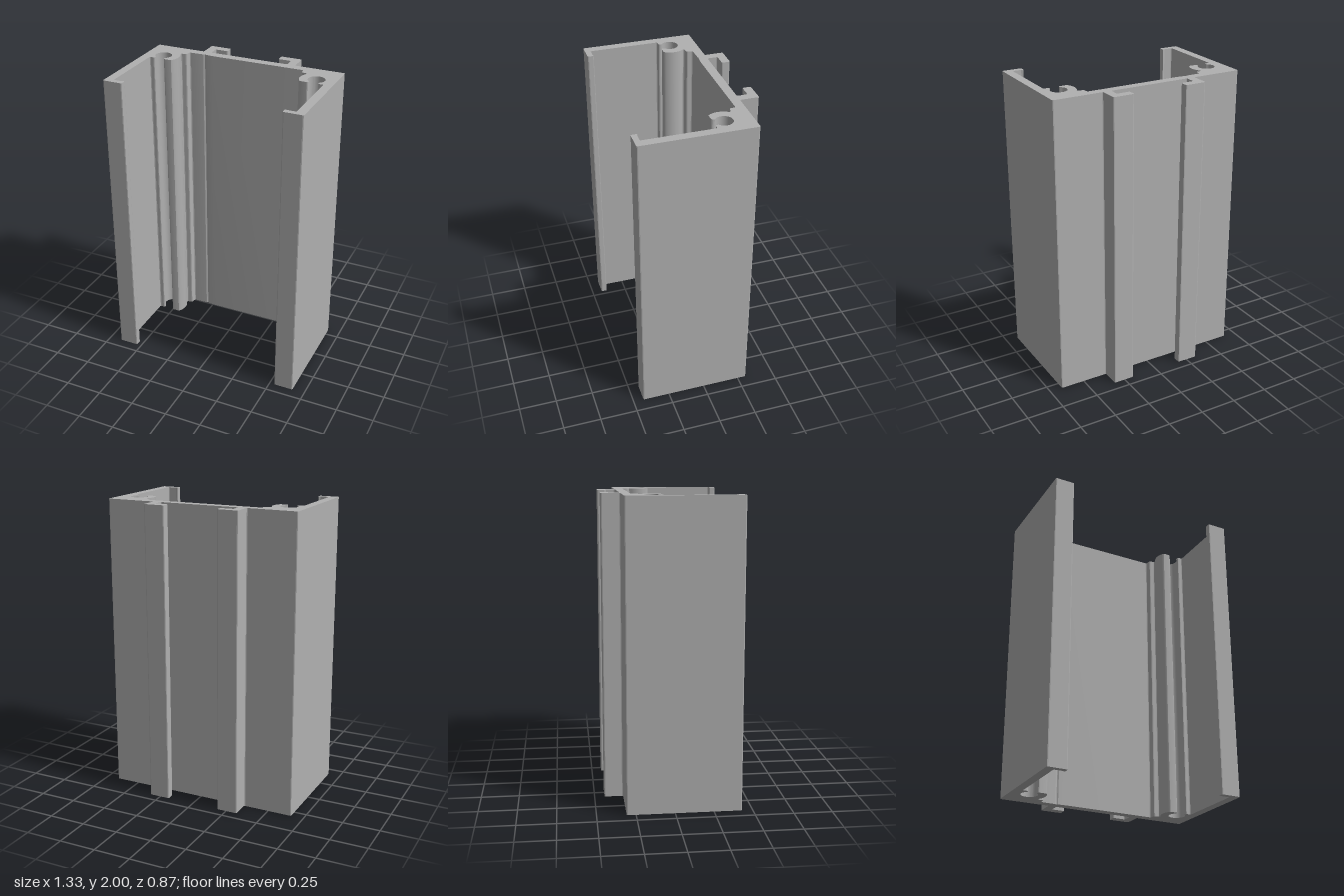
import * as THREE from 'three';
import { toCreasedNormals } from 'three/addons/utils/BufferGeometryUtils.js';

const HEIGHT = 2;
const SCREW = { x: 0.538, z: -0.132 }; // centre of the screw channel

// Points along an arc about the screw channel, angles in degrees (x, z plane)
function channelArc(radius, from, to, steps) {
  return Array.from({ length: steps + 1 }, (_, i) => {
    const a = THREE.MathUtils.degToRad(from + ((to - from) * i) / steps);
    return [SCREW.x + radius * Math.cos(a), SCREW.z + radius * Math.sin(a)];
  });
}

// Half of the section as [x, z], from the back of the web round to its front
function halfSection() {
  return [
    // hooked rail on the back
    [0.272, -0.31], [0.272, -0.379], [0.184, -0.379], [0.184, -0.434],
    [0.327, -0.434], [0.327, -0.31],
    // side wall and its front lip
    [0.665, -0.31], [0.665, 0.431], [0.532, 0.431], [0.532, 0.388],
    [0.548, 0.395], [0.607, 0.395], [0.607, -0.066],
    // open screw channel
    [0.572, -0.066],
    ...channelArc(0.056, 55, -235, 28),
    [0.504, -0.066],
    ...channelArc(0.111, 143, 216, 8),
    // stepped corner up to the web
    [0.444, -0.208], [0.408, -0.212], [0.404, -0.252],
  ];
}

// Closed outline with small rounds on the sharp corners
function roundedShape(points, radius) {
  const pts = points.map(([x, z]) => new THREE.Vector2(x, -z));
  const shape = new THREE.Shape();
  pts.forEach((p, i) => {
    const before = pts[(i + pts.length - 1) % pts.length].clone().sub(p);
    const after = pts[(i + 1) % pts.length].clone().sub(p);
    const turn = Math.PI - before.angleTo(after);
    const r = turn > 0.6 ? Math.min(radius, before.length() * 0.4, after.length() * 0.4) : 0;
    const start = p.clone().addScaledVector(before.normalize(), r);
    const end = p.clone().addScaledVector(after.normalize(), r);
    if (i === 0) shape.moveTo(start.x, start.y);
    else shape.lineTo(start.x, start.y);
    if (r > 0) shape.quadraticCurveTo(p.x, p.y, end.x, end.y);
  });
  shape.closePath();
  return shape;
}

export function createModel() {
  const aluminium = new THREE.MeshStandardMaterial({ color: 0xb0b0b0 });
  aluminium.name = 'aluminium grey';

  const right = halfSection();
  const left = right.map(([x, z]) => [-x, z]).reverse();
  // shallow marking groove on the front of the web
  const groove = [[-0.235, -0.25], [-0.285, -0.254], [-0.295, -0.262], [-0.305, -0.254]];

  const shape = roundedShape([...right, ...groove, ...left], 0.008);
  const extrusion = new THREE.ExtrudeGeometry(shape, {
    depth: HEIGHT, bevelEnabled: false, curveSegments: 2,
  });
  extrusion.rotateX(-Math.PI / 2);

  const profile = new THREE.Mesh(toCreasedNormals(extrusion, 0.25), aluminium);
  profile.name = 'channelProfile';

  const group = new THREE.Group();
  group.name = 'extrudedChannel';
  group.add(profile);
  return group;
}
